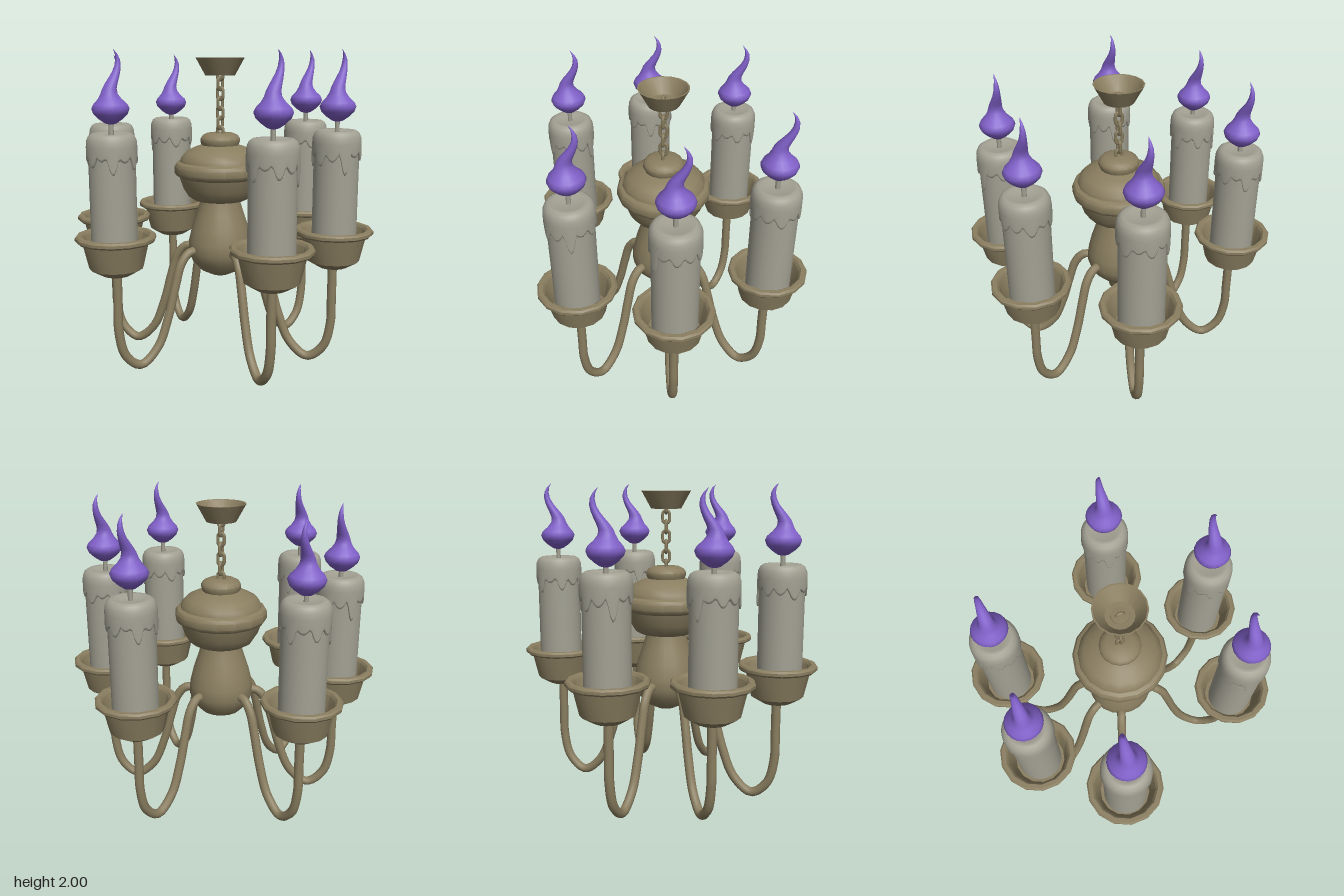
import * as THREE from 'three';
import { toCreasedNormals } from 'three/addons/utils/BufferGeometryUtils.js';

const material = (name, color) => {
  const m = new THREE.MeshStandardMaterial({ color });
  m.name = name;
  return m;
};

function add(parent, name, geometry, mat, x = 0, y = 0, z = 0) {
  const mesh = new THREE.Mesh(geometry, mat);
  mesh.name = name;
  mesh.position.set(x, y, z);
  parent.add(mesh);
  return mesh;
}

// Turned profile [radius, height], bottom to top, with crisp edges kept
function turned(profile, sides) {
  const points = profile.map(([r, y]) => new THREE.Vector2(r, y));
  return toCreasedNormals(new THREE.LatheGeometry(points, sides), 0.62);
}

// Smooth skin through closed rings, bottom to top
function loft(rows, sides, place) {
  const positions = [], index = [];
  rows.forEach((row, i) => {
    for (let j = 0; j < sides; j++) {
      positions.push(...place(row, (j / sides) * Math.PI * 2));
      if (i === rows.length - 1) continue;
      const a = i * sides + j, b = i * sides + (j + 1) % sides;
      index.push(a, a + sides, b, b, a + sides, b + sides);
    }
  });
  const g = new THREE.BufferGeometry();
  g.setAttribute('position', new THREE.Float32BufferAttribute(positions, 3));
  g.setIndex(index);
  g.computeVertexNormals();
  return g;
}

// Melted wax cap whose lower edge hangs in drips: [angle, half width, depth]
function waxCap() {
  const drips = [[0.1, 0.3, 0.07], [0.62, 0.3, 0.04], [1.15, 0.34, 0.08], [1.75, 0.32, 0.05],
    [2.3, 0.28, 0.06], [2.85, 0.3, 0.035], [3.3, 0.25, 0.14], [3.85, 0.33, 0.06],
    [4.4, 0.28, 0.09], [4.95, 0.32, 0.04], [5.45, 0.26, 0.11], [5.9, 0.25, 0.03]];
  const edge = (t) => 1.395 - Math.max(0, ...drips.map(([c, w, d]) => {
    const off = Math.abs(Math.atan2(Math.sin(t - c), Math.cos(t - c)));
    return off < w ? d * Math.cos((off / w) * Math.PI / 2) : 0;
  }));
  // [radius, height], null height follows the dripping edge
  const rows = [[0.137, null], [0.147, null], [0.151, null, 0.015], [0.15, 1.44], [0.147, 1.475],
    [0.135, 1.503], [0.115, 1.517], [0.09, 1.515], [0.06, 1.505], [0, 1.503]];
  return loft(rows, 72, ([r, y, lift = 0], t) =>
    [r * Math.cos(t), y === null ? edge(t) + lift : y, r * Math.sin(t)]);
}

// Swaying flame: rings of [height, radius, sideways shift]
function flameGeometry() {
  const rows = [[1.565, 0, 0], [1.575, 0.035, 0], [1.6, 0.07, 0], [1.63, 0.1, 0], [1.66, 0.111, 0],
    [1.685, 0.1, 0], [1.715, 0.07, -0.004], [1.745, 0.05, -0.008], [1.775, 0.042, -0.004],
    [1.805, 0.037, 0.012], [1.835, 0.031, 0.032], [1.87, 0.024, 0.053], [1.905, 0.019, 0.066],
    [1.94, 0.014, 0.068], [1.97, 0.008, 0.058], [2, 0, 0.035]];
  return loft(rows, 20, ([y, r, shift], t) => [r * Math.cos(t) + shift, y, r * Math.sin(t)]);
}

// Oval chain link standing upright
function linkGeometry() {
  const points = [];
  for (let i = 0; i < 20; i++) {
    const t = (i / 20) * Math.PI * 2;
    points.push(new THREE.Vector3(0.022 * Math.cos(t), 0.022 * Math.sin(t) + 0.017 * Math.sign(Math.sin(t).toFixed(4)), 0));
  }
  return new THREE.TubeGeometry(new THREE.CatmullRomCurve3(points, true), 32, 0.0105, 6, true);
}

// Arm running outwards along +x: out of the body, down, and up to the cup
function armGeometry() {
  const path = [[0.15, 0.715], [0.235, 0.715], [0.295, 0.65], [0.34, 0.51], [0.395, 0.31], [0.475, 0.12],
    [0.595, 0.028], [0.7, 0.11], [0.743, 0.27], [0.745, 0.45], [0.745, 0.7]];
  const curve = new THREE.CatmullRomCurve3(path.map(([r, y]) => new THREE.Vector3(r, y, 0)));
  return new THREE.TubeGeometry(curve, 56, 0.029, 10);
}

export function createModel() {
  const model = new THREE.Group();
  model.name = 'chandelier';
  const brass = material('aged brass', 0x8a7e60);
  const wax = material('grey wax', 0xa3a193);
  const violet = material('violet flame', 0x8060c8);

  // Central column, ceiling cup and chain
  const centre = new THREE.Group();
  centre.name = 'centre';
  centre.position.set(-0.01, 0, -0.01);
  model.add(centre);
  add(centre, 'body', turned([[0, 0.535], [0.06, 0.54], [0.13, 0.575], [0.185, 0.635], [0.21, 0.7],
    [0.207, 0.77], [0.185, 0.86], [0.155, 0.95], [0.13, 1.03], [0.122, 1.07]], 20), brass);
  add(centre, 'crown', turned([[0, 1.045], [0.17, 1.045], [0.205, 1.065], [0.24, 1.12], [0.265, 1.195],
    [0.285, 1.205], [0.297, 1.225], [0.297, 1.265], [0.285, 1.285], [0.262, 1.295], [0.255, 1.32],
    [0.225, 1.355], [0.165, 1.385], [0.12, 1.4], [0.128, 1.42], [0.128, 1.44], [0.115, 1.46],
    [0.085, 1.475], [0, 1.475]], 16), brass);
  add(centre, 'ceilingCup', turned([[0, 1.84], [0.095, 1.84], [0.156, 1.95], [0.147, 1.95],
    [0.085, 1.865], [0, 1.86]], 16), brass);
  add(centre, 'chainBoss', turned([[0.055, 1.855], [0.052, 1.872], [0, 1.876]], 12), brass);
  const link = linkGeometry();
  for (let i = 0; i < 7; i++) {
    add(centre, 'chainLink', link, brass, 0, 1.85 - i * 0.062, 0).rotation.y = i % 2 ? 0 : Math.PI / 2;
  }

  // Shared parts of every arm
  const arm = armGeometry();
  const cup = turned([[0, 0.65], [0.09, 0.655], [0.165, 0.7], [0.203, 0.865], [0.235, 0.866],
    [0.245, 0.877], [0.245, 0.894], [0.235, 0.905], [0.21, 0.905], [0.195, 0.89], [0.16, 0.74], [0, 0.735]], 14);
  const stick = new THREE.CylinderGeometry(0.139, 0.139, 0.74, 32);
  const cap = waxCap();
  const wick = new THREE.CylinderGeometry(0.015, 0.015, 0.1, 8);
  const flame = flameGeometry();

  // Cup x and z, candle shift in x, flame drop
  const places = [
    [0.714, 0.18, 0.008, 0], [0.25, 0.69, 0.005, 0], [-0.37, 0.645, -0.005, 0],
    [-0.713, -0.26, -0.012, 0], [-0.305, -0.7, 0, 0.03], [0.29, -0.7, 0, 0.03],
  ];
  places.forEach(([x, z, shift, drop], i) => {
    const dx = x + 0.01, dz = z + 0.01;
    const branch = add(centre, 'arm', arm, brass);
    branch.rotation.y = -Math.atan2(dz, dx);
    branch.scale.set(Math.hypot(dx, dz) / 0.745, 1, 1);
    add(model, 'candleCup', cup, brass, x, 0, z);
    const candle = new THREE.Group();
    candle.name = 'candle';
    candle.position.set(x + shift, 0, z);
    model.add(candle);
    add(candle, 'candleStick', stick, wax, 0, 1.1, 0);
    add(candle, 'waxDrips', cap, wax).rotation.y = i * 1.05;
    add(candle, 'wick', wick, wax, 0, 1.54, 0);
    add(candle, 'flame', flame, violet, 0, -drop, 0);
  });
  return model;
}
